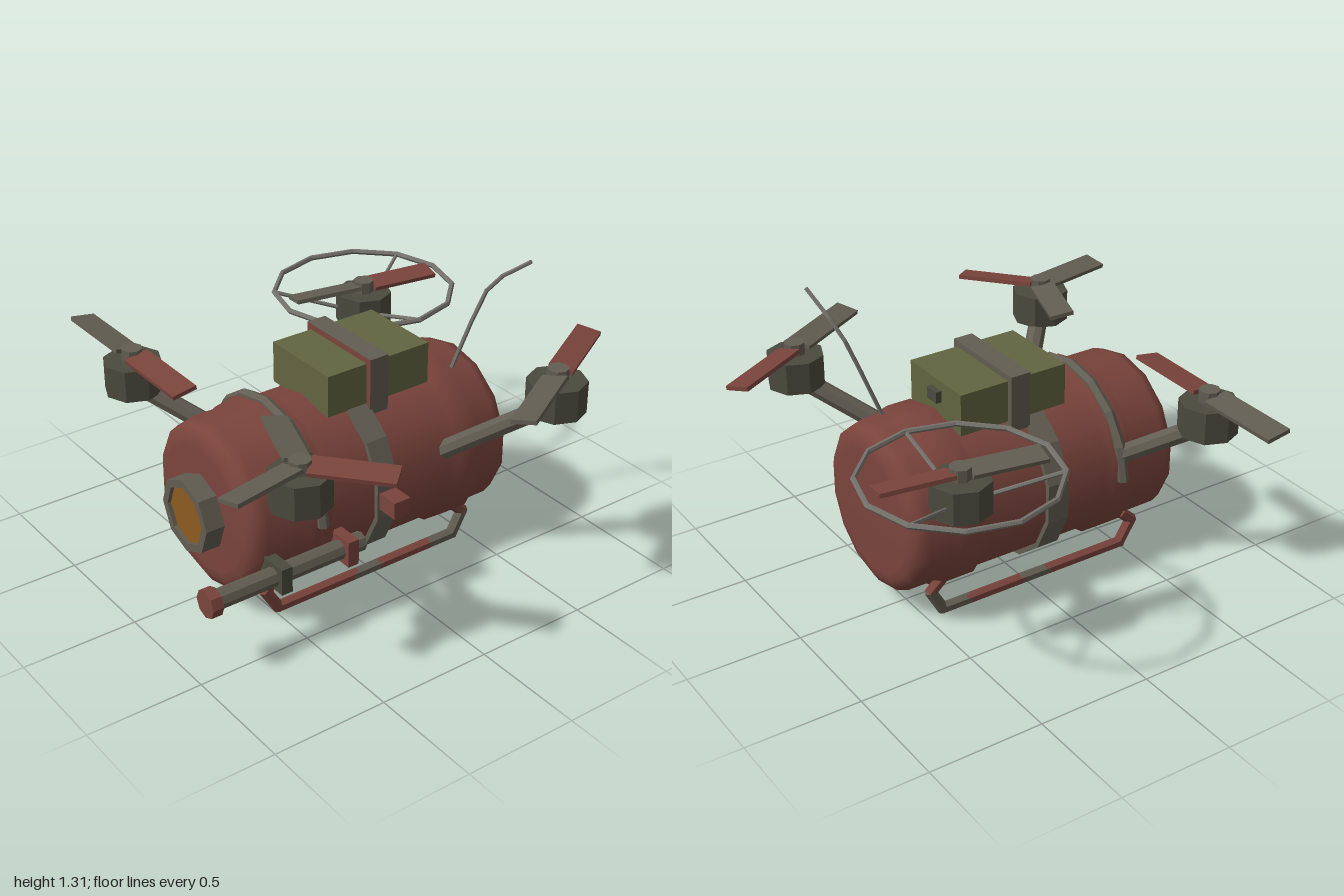
import * as THREE from 'three';

const mat = (name, color, flatShading = true) => {
  const m = new THREE.MeshStandardMaterial({ color, flatShading });
  m.name = name;
  return m;
};

export function createModel() {
  const root = new THREE.Group();
  root.name = 'tankDrone';
  const rustSmooth = mat('rust red hull', 0x7a443c, false);
  const rust = mat('rust red', 0x7a443c);
  const grey = mat('worn grey', 0x625d52);
  const dark = mat('motor grey', 0x4a4a3e);
  const metal = mat('bare metal', 0x74716b);
  const green = mat('olive green', 0x626540);
  const amber = mat('amber lens', 0x8c5c20);
  const V = (x, y, z) => new THREE.Vector3(x, y, z);
  const CX = 0.055, CY = 0.453;

  const add = (name, geo, material, x = 0, y = 0, z = 0, parent = root) => {
    const m = new THREE.Mesh(geo, material);
    m.name = name;
    m.position.set(x, y, z);
    parent.add(m);
    return m;
  };
  const box = (name, x0, x1, y0, y1, z0, z1, material) =>
    add(name, new THREE.BoxGeometry(x1 - x0, y1 - y0, z1 - z0), material,
      (x0 + x1) / 2, (y0 + y1) / 2, (z0 + z1) / 2);
  // Straight rod between two points
  const rod = (name, a, b, r, material, sides = 8) => {
    const m = add(name, new THREE.CylinderGeometry(r, r, a.distanceTo(b), sides), material);
    m.position.copy(a).lerp(b, 0.5);
    m.quaternion.setFromUnitVectors(V(0, 1, 0), b.clone().sub(a).normalize());
    return m;
  };
  // Chain of rods with slightly overlapping joints; one material per segment
  const chain = (name, pts, r, materials, sides = 6) => {
    for (let i = 0; i < pts.length - 1; i++) {
      const d = pts[i + 1].clone().sub(pts[i]).normalize().multiplyScalar(r * 0.4);
      rod(name, pts[i].clone().sub(d), pts[i + 1].clone().add(d), r,
        materials[i % materials.length], sides);
    }
  };
  // Turned profile [radius, z] around the hull axis
  const turned = (name, profile, material, sides) => {
    const g = new THREE.LatheGeometry(profile.map(([r, z]) => new THREE.Vector2(r, z)), sides);
    g.rotateX(Math.PI / 2);
    return add(name, g, material, CX, CY, 0);
  };

  // Tank hull with two raised ribs and rounded ends
  turned('tankHull', [
    [0, -0.625], [0.27, -0.625], [0.315, -0.618], [0.352, -0.595], [0.367, -0.55],
    [0.367, -0.46], [0.388, -0.43], [0.388, -0.32], [0.367, -0.29],
    [0.367, 0.30], [0.388, 0.33], [0.388, 0.43], [0.367, 0.46],
    [0.367, 0.615], [0.352, 0.66], [0.315, 0.683], [0.27, 0.69], [0, 0.69],
  ], rustSmooth, 14);

  // Strap round the middle with its buckle
  turned('middleStrap', [[0.36, 0], [0.388, 0], [0.388, 0.1], [0.36, 0.1]], grey, 14);
  box('strapBuckle', 0.42, 0.53, 0.42, 0.495, 0.01, 0.09, rust);

  // Arch over the front rib
  add('frontArch', new THREE.TorusGeometry(0.383, 0.027, 6, 8, Math.PI), grey, CX, CY, 0.375);

  // Lens housing on the nose
  const nose = turned('lensHousing', [
    [0.163, 0.67], [0.163, 0.775], [0.128, 0.775], [0.128, 0.755],
  ], grey, 8);
  const lens = add('lens', new THREE.CircleGeometry(0.13, 8), amber, CX, CY, 0.758);
  nose.rotation.z = Math.PI / 8 * 0.1;
  lens.rotation.z = nose.rotation.z;

  // Supply box on top, held by a band
  box('supplyBox', -0.145, 0.235, 0.79, 0.972, -0.305, 0.2, green);
  box('boxLatch', 0, 0.07, 0.88, 0.93, -0.33, -0.3, dark);
  box('boxBand', -0.17, 0.26, 0.75, 0.998, -0.08, 0.01, [grey, grey, grey, grey, rust, grey]);

  // Rotors: blade entry is [tip x, tip z, material]
  const rotor = (name, x, z, bottom, joint, blades, width) => {
    const g = new THREE.Group();
    g.name = name;
    g.position.set(x, bottom, z);
    root.add(g);
    add('motor', new THREE.CylinderGeometry(0.125, 0.125, 0.14, 8), dark, 0, 0.07, 0, g);
    add('hub', new THREE.CylinderGeometry(0.045, 0.045, 0.055, 8), grey, 0, 0.165, 0, g);
    for (const [tx, tz, material] of blades) {
      const len = Math.hypot(tx - x, tz - z);
      const geo = new THREE.BoxGeometry(len - 0.035, 0.018, width);
      geo.rotateX(0.16);
      geo.translate(len / 2 + 0.0175, 0, 0);
      add('blade', geo, material, 0, 0.167, 0, g).rotation.y = -Math.atan2(tz - z, tx - x);
    }
    rod('arm', V(...joint), V(x, bottom + 0.03, z), 0.042, grey);
  };
  rotor('frontRightRotor', -0.55, 0.63, 0.715, [-0.24, 0.52, 0.34],
    [[-0.97, 0.63, grey], [-0.13, 0.635, rust]], 0.11);
  rotor('backRightRotor', -0.51, -0.54, 0.715, [-0.24, 0.52, -0.26],
    [[-0.46, -0.88, rust], [-0.57, -0.2, grey]], 0.1);
  rotor('frontLeftRotor', 0.65, 0.63, 0.762, [0.35, 0.55, 0.34],
    [[0.31, 0.51, grey], [0.93, 0.39, rust], [0.715, 0.985, grey]], 0.105);
  rotor('backLeftRotor', 0.685, -0.605, 0.762, [0.35, 0.52, -0.24],
    [[0.475, -0.975, rust], [0.9, -0.23, grey]], 0.105);

  // Guard ring with three spokes round one rotor
  const ring = add('guardRing', new THREE.TorusGeometry(0.4, 0.012, 6, 12), metal, -0.51, 0.868, -0.54);
  ring.rotation.x = Math.PI / 2;
  for (let i = 0; i < 3; i++) {
    const a = i * Math.PI * 2 / 3, c = Math.cos(a), s = Math.sin(a);
    rod('guardSpoke', V(-0.51 + 0.1 * c, 0.775, -0.54 + 0.1 * s),
      V(-0.51 + 0.4 * c, 0.868, -0.54 + 0.4 * s), 0.009, metal, 6);
  }

  // Bent antenna
  chain('antenna', [V(0.19, 0.78, -0.47), V(0.22, 0.99, -0.545), V(0.25, 1.13, -0.595),
    V(0.31, 1.21, -0.625), V(0.43, 1.305, -0.66)], 0.009, [metal]);

  // Side barrel with clamps and muzzle
  rod('sideBarrel', V(0.47, 0.338, 0.21), V(0.47, 0.338, 0.92), 0.041, grey);
  rod('muzzle', V(0.47, 0.338, 0.9), V(0.47, 0.338, 0.948), 0.06, rust);
  box('frontClamp', 0.38, 0.528, 0.28, 0.395, 0.585, 0.635, dark);
  box('rearClamp', 0.38, 0.528, 0.28, 0.395, 0.265, 0.315, rust);

  // Landing skids
  for (const x of [-0.172, 0.283]) {
    chain('skid', [V(x, 0.17, 0.5), V(x, 0.125, 0.55), V(x, 0.026, 0.49), V(x, 0.026, 0.1),
      V(x, 0.026, -0.03), V(x, 0.026, -0.3), V(x, 0.026, -0.425), V(x, 0.125, -0.48),
      V(x, 0.17, -0.43)], 0.025, [rust, rust, rust, grey, rust, grey, grey, rust]);
  }
  add('drainPlug', new THREE.CylinderGeometry(0.025, 0.02, 0.07, 6), dark, CX, 0.065, -0.06);

  return root;
}
